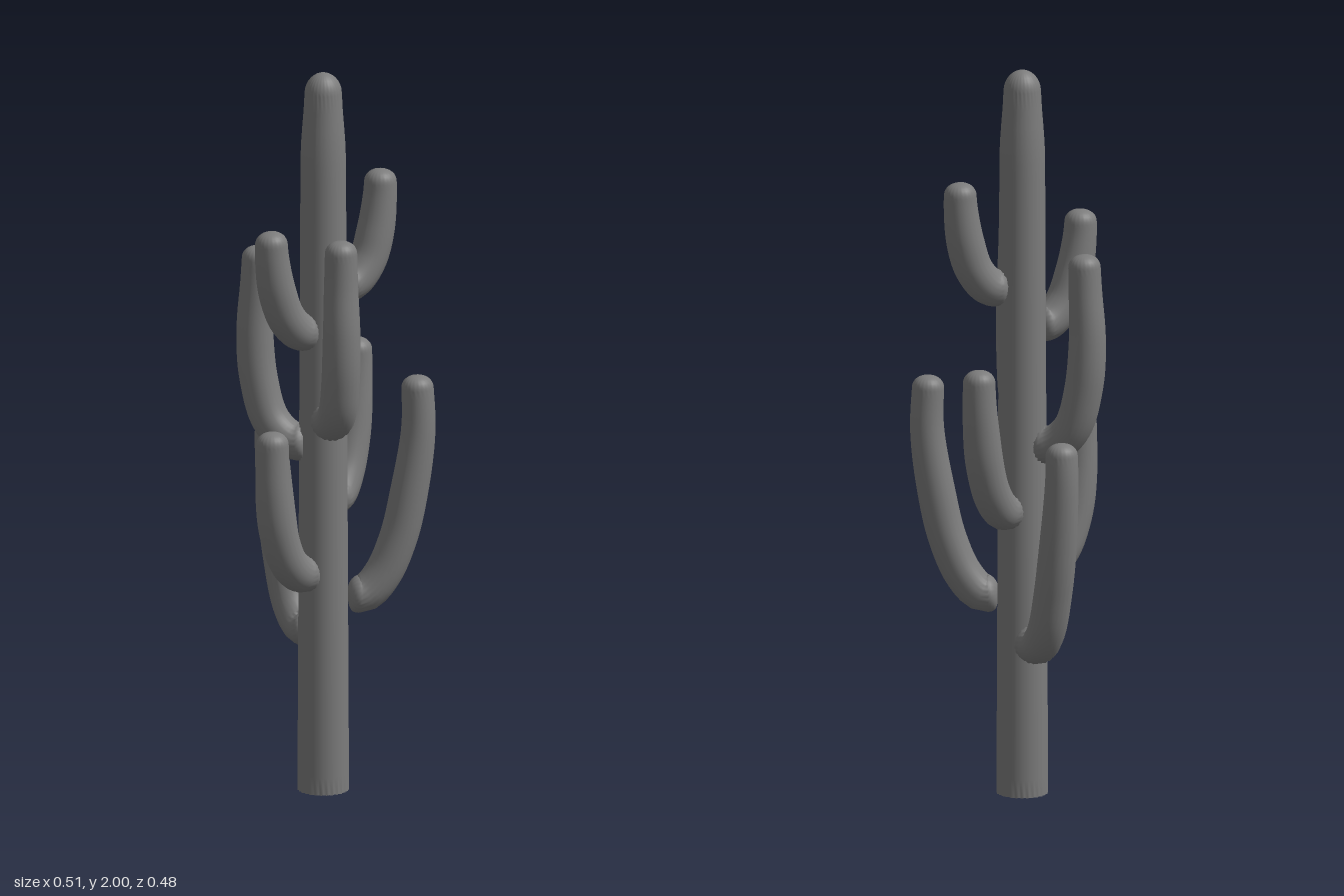
import * as THREE from 'three';

const material = new THREE.MeshStandardMaterial({ color: 0x7c7c7c });
const V = (x, y, z) => new THREE.Vector3(x, y, z);

// Sweeps a ribbed round section along a curve lying in the plane with the given normal.
// radius(u) is the girth along the curve; capStart / capEnd are the lengths of the rounded ends.
function ribbedStem(curve, normal, radius, { ribs, depth, capStart, capEnd, capPower, rows }) {
  const length = curve.getLength();
  const CAP = 8;
  const stations = []; // [distance along the curve, radius factor]
  const cap = (k) => Math.pow(1 - Math.pow(1 - k, capPower), 1 / capPower);
  if (capStart > 0) {
    for (let i = 0; i < CAP; i++) {
      const k = 1 - Math.cos((i / CAP) * Math.PI / 2);
      stations.push([k * capStart, cap(k)]);
    }
  }
  for (let i = 0; i <= rows; i++) {
    stations.push([capStart + (length - capStart - capEnd) * i / rows, 1]);
  }
  for (let i = CAP - 1; i >= 0; i--) {
    const k = 1 - Math.cos((i / CAP) * Math.PI / 2);
    stations.push([length - k * capEnd, cap(k)]);
  }

  const segments = ribs * 2;
  const positions = [], indices = [];
  stations.forEach(([d, factor], i) => {
    const u = Math.min(1, d / length);
    const p = curve.getPointAt(u);
    const side = curve.getTangentAt(u).cross(normal).normalize();
    for (let j = 0; j < segments; j++) {
      const a = (j / segments) * Math.PI * 2;
      // ribs fade out towards the rounded ends
      const rib = 1 + depth * factor * factor * (j % 2 ? -1 : 1);
      const r = radius(u) * factor * rib;
      const v = p.clone().addScaledVector(normal, Math.cos(a) * r).addScaledVector(side, Math.sin(a) * r);
      positions.push(v.x, v.y, v.z);
      if (i < stations.length - 1) {
        const j2 = (j + 1) % segments;
        const A = i * segments + j, B = i * segments + j2;
        indices.push(A, B, A + segments, B, B + segments, A + segments);
      }
    }
  });
  const geometry = new THREE.BufferGeometry();
  geometry.setAttribute('position', new THREE.Float32BufferAttribute(positions, 3));
  geometry.setIndex(indices);
  geometry.computeVertexNormals();
  return geometry;
}

// Each arm: where it leaves the trunk and where its tip stands (x, z),
// then its bend as [fraction of the way outwards, height].
const ARMS = [
  { name: 'lowerRightArm', from: [-0.01, -0.018], to: [-0.206, -0.053],
    bend: [[0, 0.44], [0.3, 0.43], [0.55, 0.48], [0.76, 0.6], [0.92, 0.76], [1.01, 0.92], [1, 1.02]] },
  { name: 'lowerFrontArm', from: [0.035, 0.045], to: [0.033, 0.196],
    bend: [[0, 0.62], [0.3, 0.62], [0.6, 0.66], [0.85, 0.75], [0.97, 0.86], [1, 0.95], [1, 1.035]] },
  { name: 'lowerBackLeftArm', from: [0.092, -0.037], to: [0.205, -0.187],
    bend: [[0, 0.55], [0.25, 0.55], [0.5, 0.6], [0.73, 0.7], [0.88, 0.82], [1.02, 1.0], [1, 1.15]] },
  { name: 'middleBackRightArm', from: [0.012, -0.05], to: [-0.031, -0.197],
    bend: [[0, 0.8], [0.3, 0.8], [0.6, 0.85], [0.83, 0.94], [0.96, 1.06], [1, 1.14], [1, 1.21]] },
  { name: 'middleFrontRightArm', from: [0.01, 0.025], to: [-0.12, 0.09],
    bend: [[0, 0.97], [0.35, 0.97], [0.75, 1.02], [1.0, 1.14], [1.07, 1.28], [1.03, 1.4], [1, 1.505]] },
  { name: 'middleFrontLeftArm', from: [0.07, 0.025], to: [0.196, 0.1],
    bend: [[0, 1.05], [0.35, 1.05], [0.75, 1.09], [0.97, 1.19], [1.04, 1.32], [1, 1.45], [1, 1.58]] },
  { name: 'upperFrontArm', from: [0.035, 0.045], to: [0.02, 0.188],
    bend: [[0, 1.29], [0.3, 1.295], [0.62, 1.34], [0.85, 1.42], [0.97, 1.51], [1, 1.59]] },
  { name: 'upperBackArm', from: [0.055, -0.045], to: [0.08, -0.177],
    bend: [[0, 1.4], [0.35, 1.41], [0.68, 1.46], [0.88, 1.54], [0.98, 1.63], [1, 1.705]] },
];

export function createModel() {
  const group = new THREE.Group();
  const add = (name, geometry) => {
    const mesh = new THREE.Mesh(geometry, material);
    mesh.name = name;
    group.add(mesh);
    return mesh;
  };

  // Tall ribbed trunk, narrowing gently to a domed top
  const trunkX = 0.035;
  const trunkRadius = (u) => 0.067 - 0.009 * u - 0.01 * THREE.MathUtils.smoothstep(u, 0.88, 0.98);
  add('trunk', ribbedStem(new THREE.LineCurve3(V(trunkX, 0, 0), V(trunkX, 2, 0)), V(1, 0, 0), trunkRadius,
    { ribs: 28, depth: 0.04, capStart: 0, capEnd: 0.055, capPower: 2, rows: 40 }));

  // Flat underside of the trunk
  const base = add('trunkBase', new THREE.CircleGeometry(0.067, 56));
  base.rotation.x = Math.PI / 2;
  base.position.x = trunkX;

  // Upturned arms around the trunk
  for (const { name, from, to, bend } of ARMS) {
    const dx = to[0] - from[0], dz = to[1] - from[1];
    const curve = new THREE.CatmullRomCurve3(bend.map(([f, y]) => V(from[0] + dx * f, y, from[1] + dz * f)));
    const normal = V(dz, 0, -dx).normalize();
    const armRadius = (u) => 0.05 - 0.008 * THREE.MathUtils.smoothstep(u, 0.45, 1);
    add(name, ribbedStem(curve, normal, armRadius,
      { ribs: 22, depth: 0.035, capStart: 0.03, capEnd: 0.036, capPower: 2.3, rows: 30 }));
  }
  return group;
}
